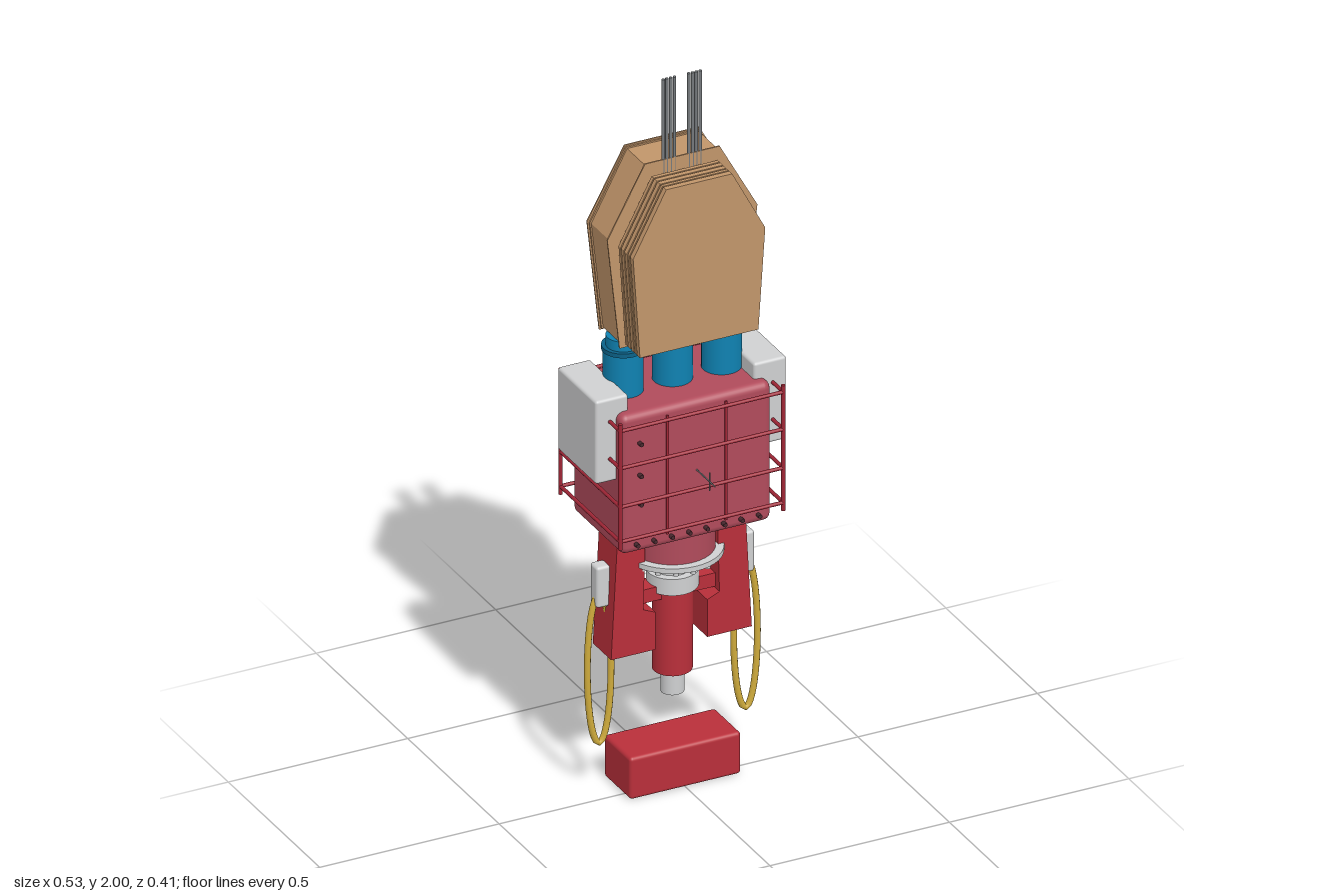
import * as THREE from 'three';
import { RoundedBoxGeometry } from 'three/addons/geometries/RoundedBoxGeometry.js';

const mat = (name, color) => new THREE.MeshStandardMaterial({ name, color });

export function createModel() {
  const root = new THREE.Group();
  root.name = 'drillingTopDrive';
  const red = mat('red', 0xb92f3a), rose = mat('rose red', 0xb04b5b), darkRed = mat('rail red', 0xa02636);
  const tan = mat('tan', 0xc1956a), blue = mat('blue', 0x0f82b2), darkBlue = mat('dark blue', 0x0b6288);
  const grey = mat('light grey', 0xcfd0d1), steel = mat('steel', 0x777b7e);
  const gold = mat('gold', 0xcfab3c), dark = mat('dark bolts', 0x4a2a30);
  const Z = -0.034; // main drilling axis

  const add = (name, geo, material, x = 0, y = 0, z = 0) => {
    const m = new THREE.Mesh(geo, material);
    m.name = name;
    m.position.set(x, y, z);
    root.add(m);
    return m;
  };
  // Box and rounded box given by their limits
  const box = (name, material, [x0, x1], [y0, y1], [z0, z1], r = 0) => {
    const s = [x1 - x0, y1 - y0, z1 - z0];
    const g = r ? new RoundedBoxGeometry(...s, 3, r) : new THREE.BoxGeometry(...s);
    return add(name, g, material, (x0 + x1) / 2, (y0 + y1) / 2, (z0 + z1) / 2);
  };
  // Upright cylinder from y0 to y1
  const cyl = (name, material, r, y0, y1, x = 0, z = Z, seg = 32) =>
    add(name, new THREE.CylinderGeometry(r, r, y1 - y0, seg), material, x, (y0 + y1) / 2, z);
  // Straight rod between two points
  const rod = (name, material, a, b, r, seg = 10) => {
    const p = new THREE.Vector3(...a), d = new THREE.Vector3(...b).sub(p);
    const m = add(name, new THREE.CylinderGeometry(r, r, d.length(), seg), material);
    m.position.copy(p).addScaledVector(d, 0.5);
    m.quaternion.setFromUnitVectors(new THREE.Vector3(0, 1, 0), d.normalize());
    return m;
  };
  // Coffin-shaped plate extruded from z0 to z1
  const plate = (name, [wb, wm, wt], [yb, ym, yt], z0, z1) => {
    const s = new THREE.Shape([[-wb, yb], [wb, yb], [wm, ym], [wt, yt], [-wt, yt], [-wm, ym]]
      .map(p => new THREE.Vector2(...p)));
    return add(name, new THREE.ExtrudeGeometry(s, { depth: z1 - z0, bevelEnabled: false }), tan, 0, 0, z0);
  };

  // Travelling block: body with flared end plates, and the stack of plates in front
  plate('blockBody', [0.167, 0.2, 0.1], [1.28, 1.58, 1.767], -0.088, 0.016);
  for (const [z, d] of [[-0.094, 1], [0.021, -1]]) {
    plate('blockRim', [0.175, 0.209, 0.104], [1.272, 1.585, 1.775], Math.min(z, z + 0.004 * d), Math.max(z, z + 0.004 * d));
    const z2 = z + 0.004 * d;
    plate('blockFlare', [0.171, 0.204, 0.102], [1.276, 1.582, 1.771], Math.min(z2, z2 + 0.005 * d), Math.max(z2, z2 + 0.005 * d));
  }
  for (const [z0, z1] of [[0.033, 0.044], [0.048, 0.062], [0.066, 0.08], [0.084, 0.093], [0.097, 0.113]])
    plate('stackPlate', [0.165, 0.184, 0.092], [1.287, 1.57, 1.744], z0, z1);

  // Hoisting cables
  for (const s of [-1, 1])
    for (let i = 0; i < 4; i++) cyl('hoistCable', steel, 0.0045, 1.6, 2, s * (0.02 + i * 0.0105), 0.017, 8);

  // Motors with flanges, and the hanger struts between them
  for (const x of [-0.137, 0, 0.137]) {
    cyl('motor', blue, 0.051, 1.1, 1.24, x);
    cyl('motorFlange', darkBlue, 0.055, 1.238, 1.25, x);
    cyl('motorCap', blue, 0.044, 1.25, 1.278, x);
  }
  for (const s of [-1, 1]) rod('hangerStrut', red, [s * 0.045, 1.278, Z], [s * 0.11, 1.2, Z], 0.009);

  // Gearbox housing with front panel seams and bolts
  box('gearbox', rose, [-0.21, 0.21], [0.73, 1.122], [-0.172, 0.1], 0.02);
  for (const x of [-0.083, 0.08]) box('panelSeam', darkRed, [x - 0.003, x + 0.003], [0.765, 1.1], [0.098, 0.104]);
  const bolt = (x, y) => { rod('bolt', dark, [x, y, 0.095], [x, y, 0.114], 0.006, 6); };
  for (let i = 0; i < 8; i++) bolt(-0.17 + i * 0.0486, 0.757);
  for (const y of [0.87, 0.95, 1.04]) bolt(-0.16, y);
  rod('frontSensorRod', steel, [0, 0.925, 0.095], [0, 0.925, 0.2], 0.002, 6);
  rod('frontSensorBar', steel, [0, 0.9, 0.17], [0, 0.95, 0.17], 0.002, 6);

  // Side cabinets with cable ports below
  for (const s of [-1, 1]) {
    box('sideCabinet', grey, s > 0 ? [0.175, 0.266] : [-0.266, -0.175], [0.932, 1.166], [-0.14, 0.07], 0.008);
    for (let i = 0; i < 4; i++) cyl('cablePort', grey, 0.009, 0.917, 0.94, s * 0.235, 0.005 - i * 0.03, 10);
  }

  // Guard cage
  const cx = 0.227, zf = 0.127, zb = -0.2;
  for (const x of [-cx, cx])
    for (const z of [zf, zb]) rod('cagePost', darkRed, [x, 0.768, z], [x, 1.122, z], 0.0055);
  for (const y of [0.79, 0.888, 0.997, 1.102]) {
    for (const z of [zf, zb]) rod('cageRail', darkRed, [-cx, y, z], [cx, y, z], 0.005);
    for (const x of [-cx, cx]) rod('cageSideRail', darkRed, [x, y, zb], [x, y, zf], 0.005);
  }

  // Output neck, bolted flange, collar and drive shaft
  cyl('gearboxNeck', rose, 0.108, 0.648, 0.74);
  cyl('neckFlange', grey, 0.129, 0.636, 0.65, 0, Z, 40);
  for (let i = 0; i < 16; i++) {
    const a = i / 16 * Math.PI * 2;
    cyl('flangeBolt', grey, 0.008, 0.624, 0.64, Math.cos(a) * 0.114, Z + Math.sin(a) * 0.114, 8);
  }
  cyl('upperShaft', grey, 0.046, 0.58, 0.64);
  cyl('collar', grey, 0.066, 0.54, 0.586);
  cyl('driveShaft', red, 0.051, 0.305, 0.545);
  cyl('shaftTip', grey, 0.03, 0.24, 0.31);

  // Pipe-handler legs, link clamps and lifting links
  for (const s of [-1, 1]) {
    const leg = new THREE.Shape([[0.1, 0.735], [0.178, 0.735], [0.196, 0.395], [0.072, 0.395], [0.072, 0.5], [0.106, 0.515]]
      .slice(0).map(([x, y]) => new THREE.Vector2(s * x, y)));
    add('handlerLeg', new THREE.ExtrudeGeometry(leg, { depth: 0.1, bevelEnabled: false }), red, 0, 0, -0.084);
    box('legBracket', red, s > 0 ? [0.045, 0.11] : [-0.11, -0.045], [0.52, 0.558], [-0.06, -0.005]);
    box('linkClamp', grey, s > 0 ? [0.182, 0.22] : [-0.22, -0.182], [0.53, 0.645], [-0.054, -0.014], 0.008);
    const pts = [];
    for (let i = 0; i < 28; i++) {
      const a = i / 28 * Math.PI * 2;
      pts.push(new THREE.Vector3(s * 0.204 + Math.cos(a) * 0.033, 0.35 + Math.sin(a) * 0.209, Z));
    }
    add('liftingLink', new THREE.TubeGeometry(new THREE.CatmullRomCurve3(pts, true), 72, 0.0085, 10, true), gold);
  }

  // Elevator block at the bottom
  box('elevatorBlock', red, [-0.155, 0.155], [0, 0.118], [-0.105, 0.04], 0.01);
  return root;
}
